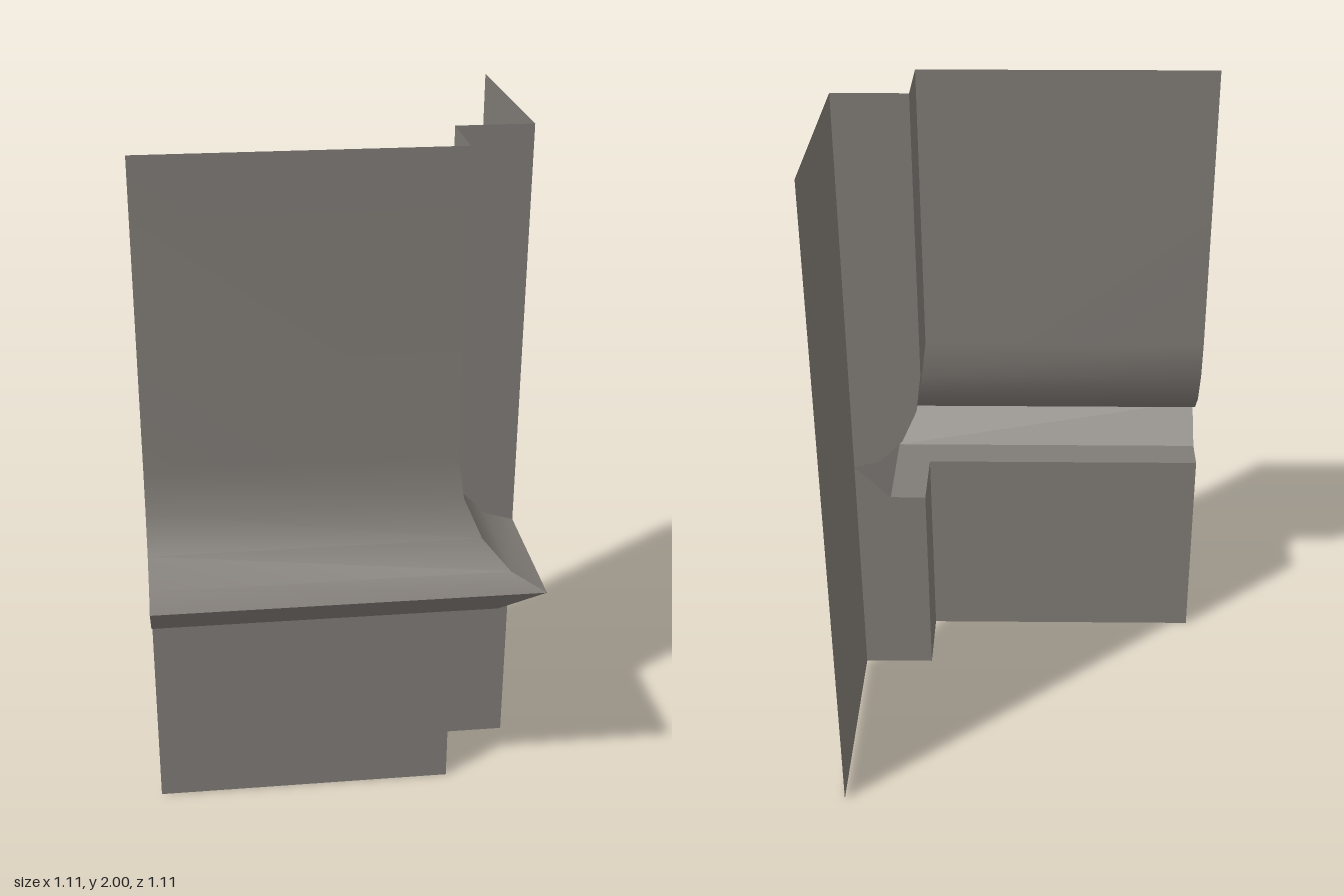
import * as THREE from 'three';

const EDGE = 5 / 9, FACE = 1 / 3, RECESS = 1 / 9;
const LIP_Y = 7 / 9, SOFFIT_Y = 2 / 3, COVE_Y = 10 / 9, REACH = 2 / 9;

// Ruled sheet between two edges, each listed from top to bottom as [x, y, z].
function sheet(left, right) {
  const index = [];
  const n = left.length;
  for (let i = 0; i < n - 1; i++) {
    index.push(i, i + 1, n + i + 1, i, n + i + 1, n + i);
  }
  const geometry = new THREE.BufferGeometry();
  geometry.setAttribute('position', new THREE.Float32BufferAttribute([...left, ...right].flat(), 3));
  geometry.setIndex(index);
  geometry.computeVertexNormals();
  return geometry;
}

export function createModel() {
  const model = new THREE.Group();
  model.name = 'wallCornerWithLedge';
  const stone = new THREE.MeshStandardMaterial({ color: 0x807b76, side: THREE.DoubleSide });
  stone.name = 'warm grey stone';

  // Profile pieces as [distance out from the wall, height]
  const cove = [[0, 2]];
  for (let i = 0; i <= 4; i++) {
    const a = (i / 4) * Math.PI / 2;
    cove.push([REACH * (1 - Math.cos(a)), COVE_Y - (COVE_Y - LIP_Y) * Math.sin(a)]);
  }
  const profile = {
    UpperCove: cove,
    Bevel: [[REACH, LIP_Y], [REACH / 2, SOFFIT_Y]],
    Soffit: [[REACH / 2, SOFFIT_Y], [0, SOFFIT_Y]],
    Lower: [[0, SOFFIT_Y], [0, 0]],
  };

  // Edges each profile is swept between: open end, mitred corner, recess, outer corner
  const openEnd = ([d, y]) => [-EDGE, y, FACE + d];
  const mitre = ([d, y]) => [FACE + d, y, FACE + d];
  const recessEdge = ([d, y]) => [FACE + d, y, RECESS];
  const outerEdge = ([, y]) => [EDGE, y, RECESS];
  const runs = [
    ['frontWall', openEnd, mitre],
    ['returnWall', mitre, recessEdge],
    ['recessWall', recessEdge, outerEdge],
  ];

  const add = (name, geometry) => {
    const mesh = new THREE.Mesh(geometry, stone);
    mesh.name = name;
    model.add(mesh);
  };

  for (const [name, a, b] of runs) {
    for (const [piece, points] of Object.entries(profile)) {
      // The recess wall is flat, so it has no soffit
      if (name === 'recessWall' && piece === 'Soffit') continue;
      add(name + piece, sheet(points.map(a), points.map(b)));
    }
  }

  // Plain side wall
  add('sideWall', sheet(
    [[EDGE, 2, RECESS], [EDGE, 0, RECESS]],
    [[EDGE, 2, -EDGE], [EDGE, 0, -EDGE]],
  ));

  return model;
}
